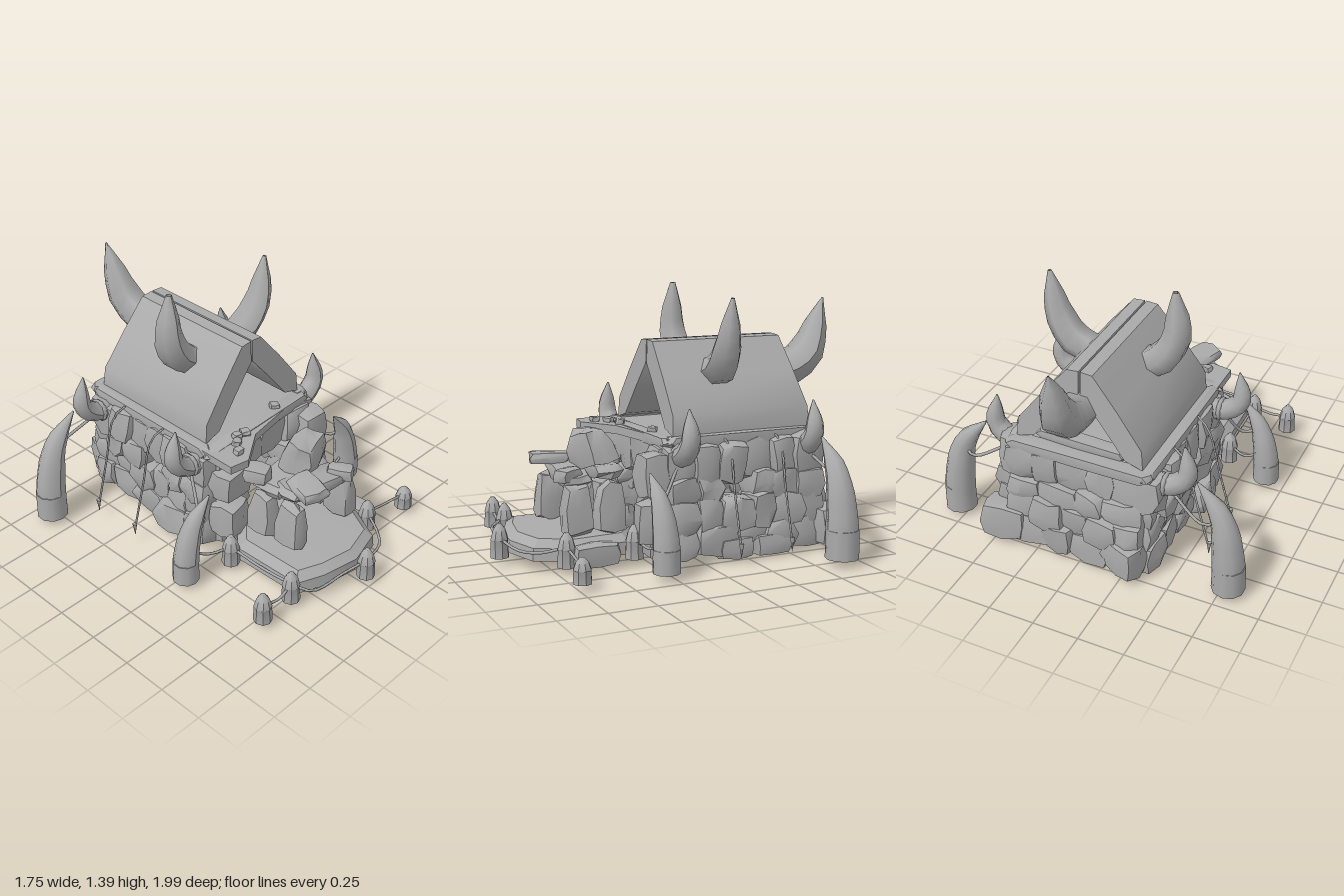
import * as THREE from 'three';
import { toCreasedNormals } from 'three/addons/utils/BufferGeometryUtils.js';

export function createModel() {
  const root = new THREE.Group();
  root.name = 'tuskedStoneHut';
  const stoneGrey = new THREE.MeshStandardMaterial({ color: 0xaaaaaa, side: THREE.DoubleSide });
  stoneGrey.name = 'stoneGrey';

  let seed = 7;
  const rnd = () => {
    seed = (seed * 16807) % 2147483647;
    return seed / 2147483647;
  };
  const jit = (a) => (rnd() - 0.5) * 2 * a;
  const V = (p) => new THREE.Vector3(...p);

  function add(name, geo, parent = root) {
    const m = new THREE.Mesh(geo, stoneGrey);
    m.name = name;
    parent.add(m);
    return m;
  }
  function group(name) {
    const g = new THREE.Group();
    g.name = name;
    root.add(g);
    return g;
  }

  // Chunky stone: subdivided box with pulled-in corners and shared random offsets
  function stone(name, pos, size, rot, parent, { rough = 0.05, taper = 1, round = 1 } = {}) {
    const geo = new THREE.BoxGeometry(1, 1, 1, 2, 2, 2);
    const p = geo.attributes.position, moved = new Map();
    for (let i = 0; i < p.count; i++) {
      const c = [p.getX(i), p.getY(i), p.getZ(i)];
      const key = c.map((n) => Math.round(n * 2)).join();
      if (!moved.has(key)) {
        const edges = c.filter((n) => Math.abs(n) > 0.4).length;
        const k = 1 + round * [0, 0.05, -0.06, -0.17][edges];
        const t = c[1] > 0.4 ? taper : c[1] > -0.1 ? (1 + taper) / 2 : 1;
        moved.set(key, [c[0] * k * t + jit(rough), c[1] * k + jit(rough), c[2] * k * t + jit(rough)]);
      }
      p.setXYZ(i, ...moved.get(key));
    }
    geo.scale(...size);
    const m = add(name, toCreasedNormals(geo, 0.8), parent);
    m.position.set(...pos);
    m.rotation.set(...rot);
    return m;
  }

  // Tapered tube: shrinks the rings of a tube by a list of radii
  function horn(name, pts, radii, parent, seg = 10, sides = 9) {
    const curve = new THREE.CatmullRomCurve3(pts.map(V));
    const geo = new THREE.TubeGeometry(curve, seg, 1, sides, false);
    const p = geo.attributes.position, v = new THREE.Vector3();
    for (let i = 0; i < p.count; i++) {
      const u = Math.floor(i / (sides + 1)) / seg;
      const f = u * (radii.length - 1), a = Math.min(Math.floor(f), radii.length - 2);
      const r = THREE.MathUtils.lerp(radii[a], radii[a + 1], f - a);
      const c = curve.getPointAt(u);
      v.fromBufferAttribute(p, i).sub(c).multiplyScalar(r).add(c);
      p.setXYZ(i, v.x, v.y, v.z);
    }
    geo.computeVertexNormals();
    return add(name, geo, parent);
  }
  function rope(name, pts, r, parent) {
    return add(name, new THREE.TubeGeometry(new THREE.CatmullRomCurve3(pts.map(V)), 10, r, 5), parent);
  }

  // Stone walls: four courses of bulging stones, a window gap on each side and a front doorway
  const walls = group('stoneWalls');
  const courses = [[0.035, 0.18], [0.165, 0.32], [0.305, 0.43], [0.42, 0.605]];
  const pillow = { rough: 0.06, round: 1.25 };
  function course(y0, y1, from, to, n, place) {
    const step = (to - from) / n;
    let a = from;
    for (let i = 0; i < n; i++) {
      const b = i === n - 1 ? to : from + step * (i + 1) + jit(step * 0.2);
      place((a + b) / 2, (y0 + y1) / 2 + jit(0.01), Math.abs(b - a) + 0.035, y1 - y0 + 0.035);
      a = b;
    }
  }
  courses.forEach(([y0, y1], row) => {
    const lean = 0.03 * (1 - row / 3);
    for (const s of [-1, 1]) {
      const x0 = s > 0 ? 0.385 + lean : -0.31 - lean * 0.4;
      const side = (z, y, w, h) => stone('sideWallStone', [x0 + jit(0.025), y, z],
        [0.17 + rnd() * 0.05, h, w], [jit(0.08), jit(0.14), jit(0.08)], walls, pillow);
      if (row === 2) {
        course(y0, y1, 0.18, -0.10, 2, side);
        course(y0, y1, -0.30, -0.7, 3, side);
      } else course(y0, y1, 0.18, -0.7, 5 + (row % 2), side);
    }
    course(y0, y1, -0.34, 0.42, 4 + (row % 2), (x, y, w, h) =>
      stone('backWallStone', [x, y, -0.645 - lean * 1.6 + jit(0.025)], [w, h, 0.19], [jit(0.1), jit(0.14), jit(0.08)], walls, pillow));
    const front = (x, y, w, h) =>
      stone('frontWallStone', [x, y, 0.14 + lean + jit(0.02)], [w, h, 0.17], [jit(0.1), jit(0.12), jit(0.08)], walls, pillow);
    if (row < 3) {
      course(y0, y1, -0.33, -0.12, 1, front);
      course(y0, y1, 0.18, 0.39, 1, front);
    } else course(y0, y1, -0.33, 0.39, 4, front);
  });
  // Larger loose blocks around the base and corners
  [
    [[0.36, 0.46, 0.23], [0.17, 0.24, 0.17], 0], [[-0.26, 0.43, 0.23], [0.2, 0.18, 0.16], 0.1],
    [[-0.28, 0.22, 0.25], [0.18, 0.2, 0.17], 0.2], [[0.36, 0.22, 0.25], [0.16, 0.22, 0.16], -0.2],
    [[0.46, 0.06, -0.18], [0.13, 0.11, 0.2], 0], [[0.46, 0.06, -0.4], [0.13, 0.11, 0.22], 0],
    [[0.44, 0.13, -0.73], [0.26, 0.2, 0.16], 0.1], [[-0.26, 0.13, -0.74], [0.2, 0.2, 0.15], -0.3],
    [[0.36, 0.08, 0.55], [0.11, 0.11, 0.26], 0.1],
  ].forEach(([p, s, r]) => stone('cornerBlock', p, s, [0, r, 0], walls));

  // Flat deck on top of the walls
  const plan = [[-0.38, -0.7], [0.4, -0.7], [0.4, 0.17], [0.2, 0.2], [-0.08, 0.25], [-0.27, 0.38], [-0.38, 0.36]];
  const deckGeo = new THREE.ExtrudeGeometry(new THREE.Shape(plan.map(([x, z]) => new THREE.Vector2(x, -z))),
    { depth: 0.045, bevelEnabled: false });
  deckGeo.rotateX(-Math.PI / 2);
  add('deck', deckGeo).position.y = 0.6;
  const frame = group('deckFrame');
  const beam = { rough: 0.02, round: 0.7 };
  stone('rearBeam', [0.02, 0.625, -0.69], [0.82, 0.06, 0.09], [0, 0, 0], frame, beam);
  stone('frontBeam', [0.02, 0.62, 0.17], [0.8, 0.06, 0.08], [0, 0.04, 0], frame, beam);
  for (const x of [-0.35, 0.39]) stone('sideBeam', [x, 0.625, -0.26], [0.08, 0.06, 0.9], [0, 0, 0], frame, beam);
  stone('innerPlank', [0.03, 0.675, -0.62], [0.5, 0.05, 0.08], [0, 0, 0.02], frame, beam);
  [[-0.21, 0.24], [-0.17, 0.2], [-0.26, 0.3], [-0.12, 0.21], [0.17, 0.15]].forEach(([x, z]) =>
    stone('pebble', [x, 0.655, z], [0.045, 0.035, 0.05], [0, rnd() * 3, 0], frame, { rough: 0.1 }));

  // Two thick, slightly bowed roof slabs forming an open gable
  const profile = [[0.005, 1.115], [0.07, 1.11], [0.21, 0.94], [0.345, 0.76], [0.355, 0.65], [0.255, 0.68], [0.13, 0.84], [0.005, 0.99]];
  for (const s of [-1, 1]) {
    const shape = new THREE.Shape(profile.map(([x, y]) => new THREE.Vector2(s * x, y)));
    const geo = new THREE.ExtrudeGeometry(shape, { depth: 0.76, bevelEnabled: false });
    const p = geo.attributes.position;
    for (let i = 0; i < p.count; i++) {
      const low = (1.11 - p.getY(i)) * 0.07;
      p.setZ(i, -0.645 + p.getZ(i) + (p.getZ(i) > 0.4 ? low * 0.5 : -low));
    }
    const slab = add(s < 0 ? 'roofRight' : 'roofLeft', toCreasedNormals(geo, 0.7));
    slab.position.x = 0.025;
  }

  // Roof horns and the large rear horn
  const horns = group('horns');
  horn('roofHornRight', [[-0.1, 0.94, -0.19], [-0.2, 0.99, -0.19], [-0.28, 1.12, -0.18], [-0.275, 1.39, -0.18]],
    [0.08, 0.09, 0.08, 0.06, 0.016], horns, 8, 6);
  horn('roofHornLeft', [[0.16, 0.94, -0.19], [0.29, 0.98, -0.19], [0.38, 1.1, -0.18], [0.432, 1.35, -0.18]],
    [0.08, 0.09, 0.08, 0.055, 0.01], horns, 8, 6);
  horn('rearHorn', [[0.03, 0.89, -0.6], [0.03, 0.91, -0.72], [0.02, 0.99, -0.86], [0.0, 1.3, -0.985]],
    [0.1, 0.105, 0.1, 0.065, 0.004], horns, 8, 6);

  const tusks = group('tusks');
  const cords = group('ropes');
  for (const s of [-1, 1]) {
    // Short horns on the wall corners
    for (const z of [0.11, -0.61]) {
      horn('cornerHorn', [[s * 0.34, 0.55, z], [s * 0.46, 0.565, z], [s * 0.54, 0.64, z], [s * 0.525, 0.815, z]],
        [0.06, 0.058, 0.055, 0.044, 0.004], horns);
      const collar = add('hornCollar', new THREE.TorusGeometry(0.053, 0.014, 5, 10), horns);
      collar.position.set(s * 0.43, 0.56, z);
      collar.rotation.y = Math.PI / 2;
    }
    // Ground tusks with thick base sleeves
    for (const [x, z, tx, tz, h, r] of [[0.79, -0.635, 0.6, -0.62, 0.63, 0.083], [0.645, 0.29, 0.49, 0.31, 0.5, 0.068]]) {
      horn('groundTusk', [[s * x, 0.035, z], [s * (x - 0.01), h * 0.4, z], [s * (x - 0.06), h * 0.75, z + (tz - z) * 0.4], [s * tx, h, tz]],
        [r, r * 1.02, r * 0.9, r * 0.62, 0.005], tusks, 12, 10);
      add('tuskSleeve', new THREE.CylinderGeometry(r * 1.03, r * 1.06, h * 0.24, 10), tusks)
        .position.set(s * x, 0.03 + h * 0.12, z);
      rope('tuskRope', [[s * (x - 0.05), h * 0.72, z], [s * (x - 0.13), h * 0.68, z - 0.04], [s * 0.43, 0.55, z < 0 ? -0.61 : 0.11]], 0.009, cords);
    }
    // Hanging cords with pointed weights
    for (const z of [-0.15, -0.45]) {
      rope('hangingCord', [[s * 0.39, 0.65, z + 0.02], [s * 0.46, 0.6, z], [s * 0.53, 0.35, z], [s * 0.6, 0.1, z]], 0.006, cords);
      const tip = add('cordWeight', new THREE.ConeGeometry(0.014, 0.08, 5), cords);
      tip.position.set(s * 0.605, 0.075, z);
      tip.rotation.z = Math.PI;
    }
  }

  // Hollow forecourt mound: outline rings rising to a flat top
  const edge = [[-0.36, 0.38], [-0.35, 0.8], [-0.2, 0.86], [0.02, 0.9], [0.23, 0.84], [0.33, 0.64], [0.31, 0.34], [0.2, 0.24], [-0.22, 0.24]];
  const rings = [[1, 0.045], [0.98, 0.11], [0.85, 0.15], [0, 0.165]];
  const pos = [], idx = [], n = edge.length;
  rings.forEach(([k, y]) => edge.forEach(([x, z]) => pos.push(x * k, y, 0.55 + (z - 0.55) * k)));
  for (let r = 0; r < rings.length - 1; r++) {
    for (let i = 0; i < n; i++) {
      const a = r * n + i, b = r * n + (i + 1) % n;
      idx.push(a, b, a + n, b, b + n, a + n);
    }
  }
  const mound = new THREE.BufferGeometry();
  mound.setAttribute('position', new THREE.Float32BufferAttribute(pos, 3));
  mound.setIndex(idx);
  add('forecourt', toCreasedNormals(mound, 0.5));

  // Stone porch: four pillars, lintels and a boulder on top
  const porch = group('porch');
  for (const [x, z, lean] of [[-0.17, 0.6, -0.05], [0.22, 0.6, 0.06], [-0.19, 0.42, -0.04], [0.23, 0.42, 0.04]])
    stone('pillar', [x, 0.285, z], [0.125, 0.26, 0.17], [0, lean, lean], porch, { taper: 0.7 });
  stone('lintel', [0.02, 0.445, 0.57], [0.44, 0.07, 0.17], [0, -0.1, -0.12], porch);
  stone('rearLintel', [0.0, 0.45, 0.42], [0.42, 0.08, 0.17], [0, 0.1, 0.05], porch);
  stone('restingSlab', [-0.09, 0.505, 0.63], [0.15, 0.06, 0.22], [0, -0.3, 0.08], porch);
  stone('boulder', [0.07, 0.575, 0.465], [0.28, 0.19, 0.2], [0.2, 0.25, 0.1], porch, { rough: 0.07, taper: 0.65 });
  stone('propStone', [-0.18, 0.5, 0.36], [0.11, 0.08, 0.14], [0, 0.4, 0], porch);
  stone('propStone', [0.18, 0.46, 0.63], [0.09, 0.07, 0.14], [0, 0.5, 0], porch);

  // Fence pegs with ropes between them
  const fence = group('fence');
  const pegs = [[-0.59, 0.79, 0.17], [-0.38, 0.79, 0.18], [0.03, 0.95, 0.18], [0.34, 0.7, 0.18], [0.63, 0.73, 0.13], [-0.39, 0.37, 0.18], [0.34, 0.33, 0.18]];
  for (const [x, z, h] of pegs) {
    const prof = [[0, 0], [0.05, 0], [0.046, 0.5], [0.048, 0.52], [0.034, 0.8], [0.012, 0.98], [0, 1]];
    const geo = new THREE.LatheGeometry(prof.map(([r, y]) => new THREE.Vector2(r, y * h)), 8);
    add('peg', toCreasedNormals(geo, 0.7), fence).position.set(x, 0.03, z);
  }
  const link = (...pts) => rope('fenceRope', pts, 0.008, fence);
  link([-0.59, 0.12, 0.79], [-0.48, 0.1, 0.8], [-0.38, 0.13, 0.79]);
  link([-0.38, 0.13, 0.79], [-0.32, 0.1, 0.88], [-0.1, 0.1, 0.91], [0.03, 0.13, 0.95]);
  link([0.03, 0.13, 0.95], [0.2, 0.1, 0.9], [0.28, 0.1, 0.82], [0.34, 0.13, 0.7]);
  link([0.34, 0.13, 0.7], [0.48, 0.1, 0.7], [0.63, 0.11, 0.73]);
  link([-0.38, 0.13, 0.79], [-0.37, 0.1, 0.58], [-0.39, 0.13, 0.37]);
  link([-0.39, 0.13, 0.37], [-0.5, 0.12, 0.32], [-0.62, 0.2, 0.3]);
  link([0.34, 0.13, 0.33], [0.48, 0.11, 0.3], [0.62, 0.2, 0.3]);
  return root;
}
